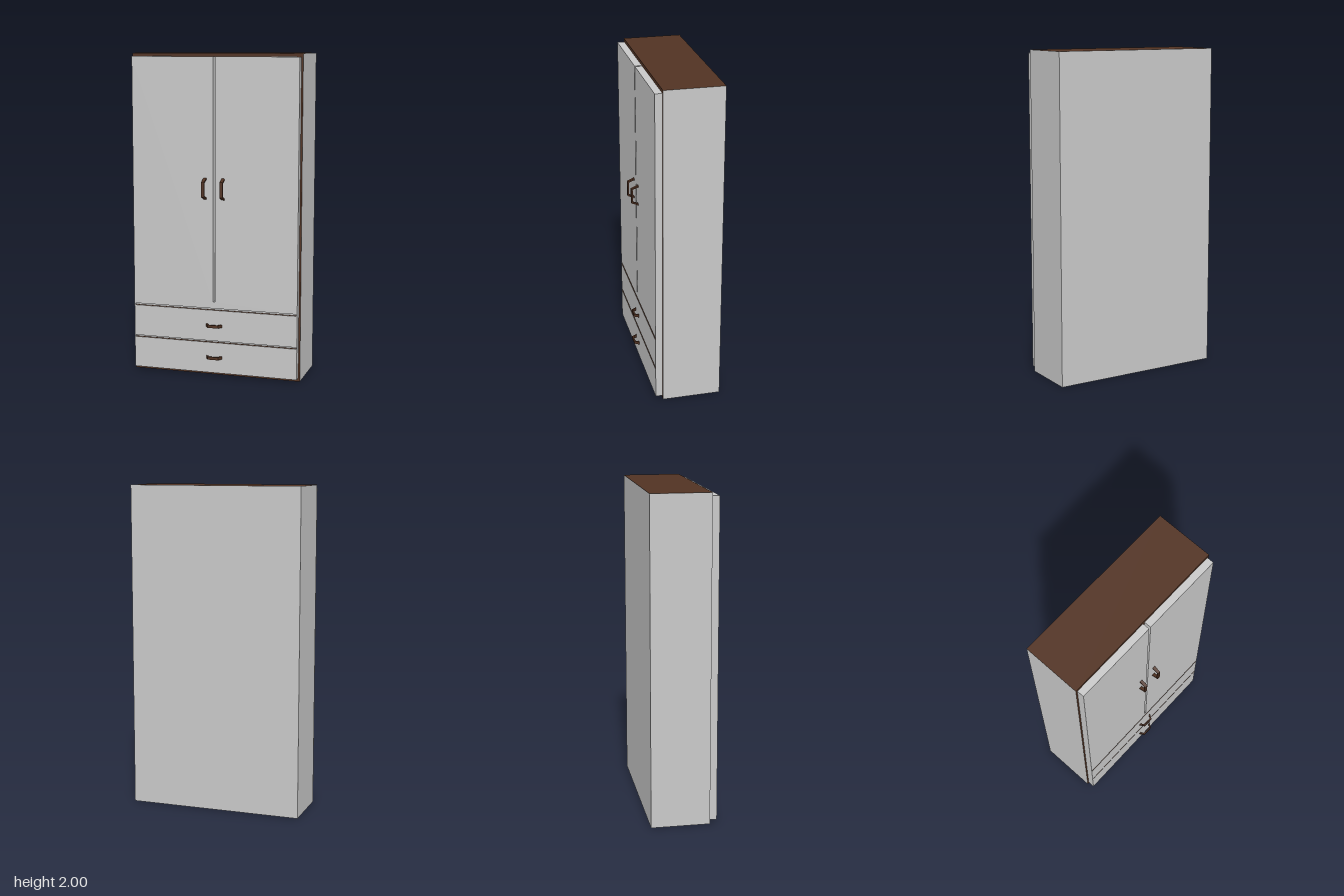
import * as THREE from 'three';

const grey = new THREE.MeshStandardMaterial({ color: 0xc9c9c9 });
grey.name = 'panelGrey';
const brown = new THREE.MeshStandardMaterial({ color: 0x523323 });
brown.name = 'darkBrown';

const HALF_W = 0.527, BOTTOM = 0.022, TOP = 1.98;   // front panel outline
const BACK = 0.135, FRONT = 0.179;                  // front panel depth range
const GROOVE_DEPTH = 0.015;
const GROOVES = [[0.216, 0.227], [0.422, 0.434]];   // lines around the drawers

function add(parent, name, geometry, material) {
  const mesh = new THREE.Mesh(geometry, material);
  mesh.name = name;
  parent.add(mesh);
  return mesh;
}

const polygon = (points) => new THREE.Shape(points.map(([x, y]) => new THREE.Vector2(x, y)));

// Panel outline with the open slot between the two doors
function panelShape() {
  const s = 0.006, slotEnd = 0.475;
  return polygon([
    [-HALF_W, BOTTOM], [HALF_W, BOTTOM], [HALF_W, TOP], [s, TOP],
    [s, slotEnd], [-s, slotEnd], [-s, TOP], [-HALF_W, TOP],
  ]);
}

// Bent bar handle lying along x and standing out along +z
function handleGeometry(length, reach, width) {
  const a = length / 2, b = a - 0.019, t = 0.009;
  const shape = polygon([
    [a, 0], [b, reach], [-b, reach], [-a, 0],
    [-a + 0.011, 0], [-b + 0.005, reach - t], [b - 0.005, reach - t], [a - 0.011, 0],
  ]);
  const g = new THREE.ExtrudeGeometry(shape, { depth: width, bevelEnabled: false });
  g.translate(0, 0, -width / 2);
  return g.rotateX(Math.PI / 2);
}

export function createModel() {
  const model = new THREE.Group();
  model.name = 'wardrobe';

  // Carcass: brown top and front, grey elsewhere
  add(model, 'carcass', new THREE.BoxGeometry(1.076, 2, 0.36),
    [grey, grey, brown, grey, brown, grey]).position.set(0, 1, BACK - 0.18);

  // Front panel: a solid layer behind a layer cut by the drawer grooves
  const backLayer = new THREE.ExtrudeGeometry(panelShape(),
    { depth: FRONT - BACK - GROOVE_DEPTH, bevelEnabled: false });
  add(model, 'frontPanelBacking', backLayer, grey).position.z = BACK;

  const face = panelShape();
  const gx = HALF_W - 0.006;
  for (const [y0, y1] of GROOVES) {
    face.holes.push(polygon([[-gx, y0], [-gx, y1], [gx, y1], [gx, y0]]));
    // Brown lower edge of the groove
    const ledge = new THREE.PlaneGeometry(gx * 2, GROOVE_DEPTH).rotateX(-Math.PI / 2);
    add(model, 'grooveLedge', ledge, brown).position.set(0, y0 + 0.0008, FRONT - GROOVE_DEPTH / 2);
  }
  const faceLayer = new THREE.ExtrudeGeometry(face, { depth: GROOVE_DEPTH, bevelEnabled: false });
  add(model, 'doorsAndDrawers', faceLayer, grey).position.z = FRONT - GROOVE_DEPTH;

  // Upright door handles
  for (const side of [-1, 1]) {
    const g = handleGeometry(0.132, 0.044, 0.019).rotateZ(Math.PI / 2);
    add(model, side > 0 ? 'leftDoorHandle' : 'rightDoorHandle', g, brown)
      .position.set(side * 0.058, 1.18, FRONT);
  }

  // Level drawer handles
  for (const y of [0.122, 0.325]) {
    add(model, 'drawerHandle', handleGeometry(0.104, 0.031, 0.018), brown)
      .position.set(0, y, FRONT);
  }
  // Centre the depth
  return model;
}
